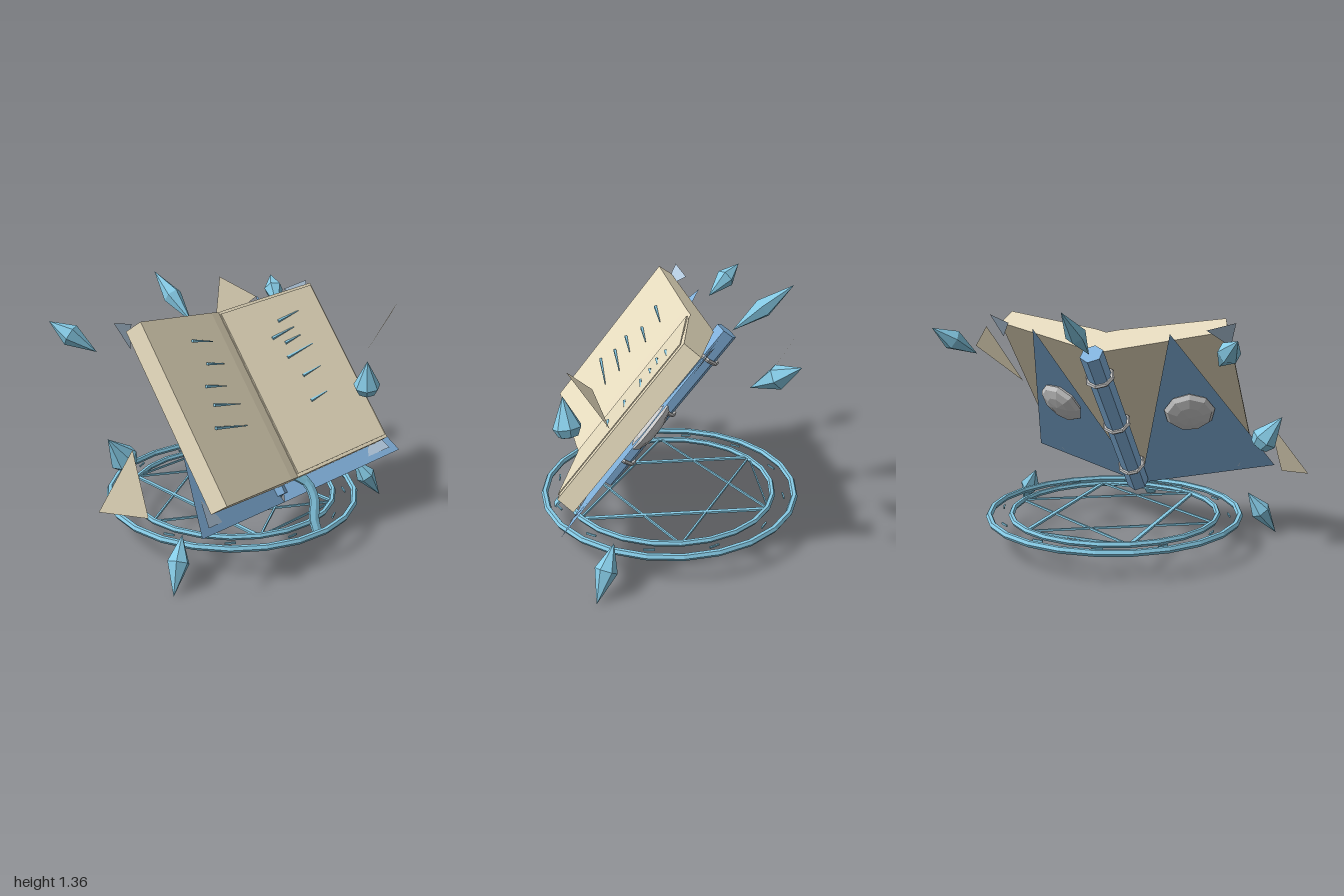
import * as THREE from 'three';

const mat = (color, extra = {}) => new THREE.MeshStandardMaterial({ color, flatShading: true, ...extra });
const PAPER = mat(0xe6dbbe);
const LOOSE = mat(0xe6dbbe, { side: THREE.DoubleSide });
const COVER = mat(0x84b5e0);
const COVER_THIN = mat(0x84b5e0, { side: THREE.DoubleSide });
const GLOW = mat(0x86cbe6);
const METAL = mat(0xcccccc);
const FITTING = mat(0xb4cbe0, { side: THREE.DoubleSide });

const V = (x, y, z) => new THREE.Vector3(x, y, z);

function add(parent, name, geometry, material, x = 0, y = 0, z = 0) {
  const mesh = new THREE.Mesh(geometry, material);
  mesh.name = name;
  mesh.position.set(x, y, z);
  parent.add(mesh);
  return mesh;
}

function triangle(parent, name, material, ...points) {
  const geometry = new THREE.BufferGeometry().setFromPoints(points);
  geometry.computeVertexNormals();
  return add(parent, name, geometry, material);
}

// Pointed solid of revolution running from tail to tip; waist is the widest fraction
function crystal(parent, name, tail, tip, radius, waist, sides = 6, round = false) {
  const dir = tip.clone().sub(tail);
  const length = dir.length();
  const profile = [[0, 0], [radius, waist * length], [0, length]];
  if (round) profile.splice(1, 0, [radius * 0.7, waist * length * 0.25]);
  const geometry = new THREE.LatheGeometry(profile.map(([r, y]) => new THREE.Vector2(r, y)), sides);
  const mesh = add(parent, name, geometry, GLOW, tail.x, tail.y, tail.z);
  mesh.quaternion.setFromUnitVectors(V(0, 1, 0), dir.normalize());
}

// Cross-section in x and depth, drawn out along the height of the book
function pageBlock(parent, name, points, height) {
  const shape = new THREE.Shape(points.map(([x, n]) => new THREE.Vector2(x, n)));
  const geometry = new THREE.ExtrudeGeometry(shape, { depth: height, bevelEnabled: false });
  geometry.translate(0, 0, -height / 2);
  geometry.rotateX(Math.PI / 2);
  return add(parent, name, geometry, PAPER);
}

function buildBook() {
  const book = new THREE.Group();
  book.name = 'book';
  book.position.set(0, 0.675, 0.03);
  book.rotation.x = -0.663;

  // Spine with three clasps
  add(book, 'spine', new THREE.CylinderGeometry(0.065, 0.065, 1.104, 6), COVER);
  for (const u of [-0.375, 0, 0.375]) {
    const clasp = add(book, 'spineClasp', new THREE.TorusGeometry(0.073, 0.012, 5, 8), METAL, 0, u, 0);
    clasp.rotation.x = Math.PI / 2;
  }

  // Open page block, plus one loose top sheet on the left-hand half
  pageBlock(book, 'pages', [
    [0, 0.055], [0.675, 0.258], [0.64, 0.355], [0.07, 0.237], [0, 0.215],
    [-0.07, 0.237], [-0.64, 0.355], [-0.675, 0.258],
  ], 1.014);
  pageBlock(book, 'topSheet', [[0.0, 0.222], [0.625, 0.358], [0.625, 0.364], [0.0, 0.23]], 0.98);

  for (const s of [-1, 1]) {
    // Triangular cover panel and its medallion
    triangle(book, 'cover', COVER_THIN, V(0, -0.595, 0.03), V(s * 0.79, -0.598, 0.266), V(s * 0.4, 0.577, 0.147));
    const medallion = add(book, 'medallion', new THREE.SphereGeometry(0.145, 9, 6), METAL, s * 0.4, -0.01, 0.13);
    medallion.geometry.rotateX(Math.PI / 2);
    medallion.scale.z = 0.32;
    medallion.rotation.y = -s * 0.29;

    // Corner fittings, top and bottom
    for (const v of [-1, 1]) {
      triangle(book, 'cornerFitting', FITTING,
        V(s * 0.725, v * 0.563, 0.262), V(s * 0.58, v * 0.56, 0.202), V(s * 0.68, v * 0.417, 0.237));
    }
  }

  // Glowing strokes on the pages: x, height, length
  const strokes = [
    [-0.26, 0.348, 0.16], [-0.24, 0.21, 0.14], [-0.32, 0.09, 0.16], [-0.3, -0.02, 0.21], [-0.35, -0.14, 0.25],
    [0.39, 0.356, 0.16], [0.31, 0.273, 0.17], [0.35, 0.22, 0.12], [0.36, 0.143, 0.2], [0.37, 0.01, 0.14], [0.34, -0.139, 0.13],
  ];
  for (const [x, u, length] of strokes) {
    const s = Math.sign(x);
    const stroke = add(book, 'pageStroke', new THREE.CylinderGeometry(0.003, 0.01, length, 4), GLOW,
      x, u, 0.233 + 0.206 * Math.abs(x));
    stroke.quaternion.setFromUnitVectors(V(0, 1, 0), V(1, s * 0.14, s * 0.204).normalize());
  }

  // Ribbon bookmark curling out below the spine
  const path = new THREE.CatmullRomCurve3([
    V(0.05, -0.48, 0), V(0.115, -0.55, 0), V(0.11, -0.65, 0), V(0.04, -0.75, 0), V(0.02, -0.84, 0),
  ]);
  const ribbon = add(book, 'ribbonBookmark', new THREE.TubeGeometry(path, 10, 0.036, 6), mat(0x86cbe6, { side: THREE.DoubleSide }), 0, 0, 0.14);
  ribbon.scale.z = 0.35;
  return book;
}

function buildCircle() {
  const circle = new THREE.Group();
  circle.name = 'floorCircle';
  circle.position.y = 0.163;

  // Two rings
  for (const [name, radius, tube] of [['outerRing', 0.718, 0.019], ['innerRing', 0.593, 0.017]]) {
    add(circle, name, new THREE.TorusGeometry(radius, tube, 6, 24), GLOW).rotation.x = Math.PI / 2;
  }

  // Six-pointed star of bars, with two thin cross bars
  const corner = (i) => V(Math.cos(i * Math.PI / 3) * 0.6, 0, Math.sin(i * Math.PI / 3) * 0.6);
  const bar = (i, j, width) => {
    const a = corner(i), b = corner(j), d = b.clone().sub(a);
    const mesh = add(circle, 'starBar', new THREE.BoxGeometry(d.length(), 0.012, width), GLOW);
    mesh.position.copy(a).lerp(b, 0.5);
    mesh.rotation.y = -Math.atan2(d.z, d.x);
  };
  for (let i = 0; i < 6; i++) bar(i, i + 2, i === 2 || i === 5 ? 0.022 : 0.01);
  bar(1, 2, 0.007);
  bar(4, 5, 0.007);

  // Ticks between the rings
  for (let i = 0; i < 12; i++) {
    const a = (i + 0.5) * Math.PI / 6;
    const tick = add(circle, 'ringTick', new THREE.BoxGeometry(0.008, 0.01, 0.06), GLOW, Math.cos(a) * 0.655, 0, Math.sin(a) * 0.655);
    tick.rotation.y = -a + 0.2;
  }
  return circle;
}

export function createModel() {
  const model = new THREE.Group();
  model.name = 'floatingBook';
  const core = new THREE.Group();
  core.name = 'bookAndCircle';
  core.position.x = 0.073;
  model.add(core);
  core.add(buildBook(), buildCircle());

  // Crystals: a rear fan of three and a front pair
  crystal(core, 'rearCrystal', V(0, 1.11, -0.34), V(0, 1.355, -0.665), 0.055, 0.5);
  for (const s of [-1, 1]) {
    crystal(core, 'upperCrystal', V(s * 0.695, 1.08, -0.31), V(s * 0.845, 1.235, -0.515), 0.06, 0.55);
    crystal(core, 'lowerCrystal', V(s * 0.695, 0.255, 0.35), V(s * 0.845, 0.0, 0.45), 0.06, 0.45);
  }

  // Drop-shaped shards
  crystal(model, 'shard', V(0.59, 0.765, 0.55), V(0.545, 0.975, 0.575), 0.075, 0.27, 7, true);
  crystal(model, 'shard', V(-0.735, 0.59, 0.085), V(-0.865, 0.77, 0.085), 0.075, 0.3, 7, true);

  // Loose torn sheets
  triangle(model, 'looseSheet', LOOSE, V(0.995, 1.205, 0.43), V(0.78, 1.2, 0.545), V(0.82, 0.92, 0.355));
  triangle(model, 'looseSheet', LOOSE, V(-1, 0.45, 0.17), V(-0.82, 0.41, 0.33), V(-0.78, 0.715, 0.17));
  triangle(model, 'looseSheet', LOOSE, V(0.535, 1.265, -0.59), V(0.39, 0.975, -0.48), V(0.7, 1.14, -0.43));
  return model;
}
